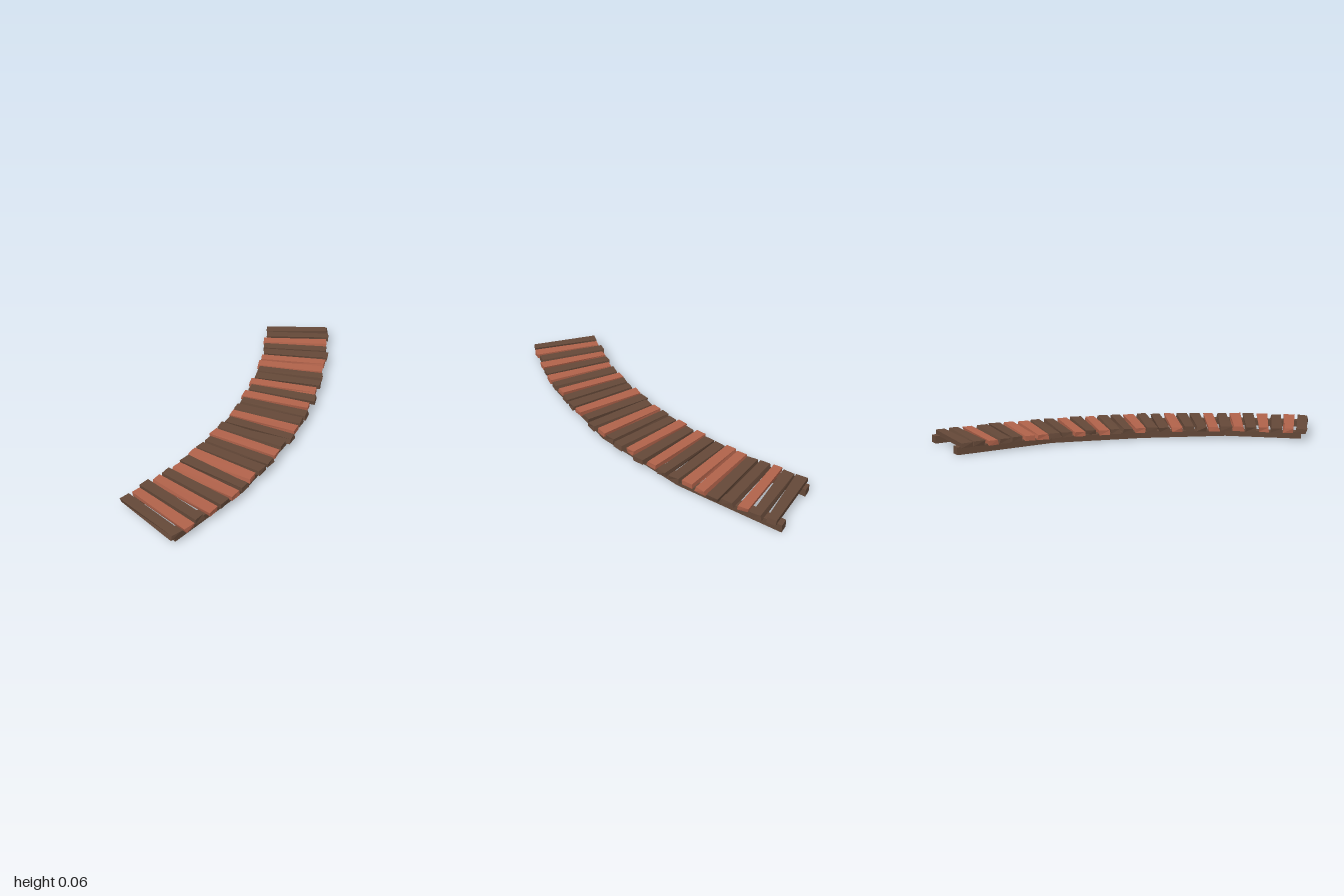
import * as THREE from 'three';

const BROWN = 0x644838, RED = 0xb0624a;

// One letter per plank, back to front: b = brown, r = red
const PLANKS = 'bbrbbrrbbrbrbbrbbrbbrbrbrbrb';
// Sideways slip of each plank, in units of 0.005
const SLIPS = [-1.5, 1, -2, -1, 1.5, -0.5, -2, 0.5, 1, -1.5, 2, -2, 1, 0,
  -0.5, 1.5, -1, -1.5, 0.5, -0.5, -2, 0, 1, -0.5, 0.5, -1.5, 1, -1];

// Bends of the walkway's centre line: x, z, turn in degrees, lift of the rail's underside
const BENDS = [
  [0.365, -0.95, 0, 0],
  [0.30, -0.452, 11, 0.009],
  [0.14, 0.055, 22.5, 0.004],
  [-0.106, 0.495, 34, 0.009],
  [-0.40, 0.833, 44.5, 0.005],
];

function seeded(seed) {
  return () => (seed = (seed * 16807) % 2147483647) / 2147483647;
}

function material(color) {
  return new THREE.MeshStandardMaterial({ color, flatShading: true });
}

// Box with slightly uneven corners, like a rough-sawn board
function plankGeometry(random) {
  const g = new THREE.BoxGeometry(0.385, 0.026, 0.057);
  const p = g.attributes.position;
  const moved = new Map();
  for (let i = 0; i < p.count; i++) {
    const key = [p.getX(i), p.getY(i), p.getZ(i)].map(Math.sign).join();
    if (!moved.has(key)) {
      moved.set(key, [(random() - 0.5) * 0.01, -random() * 0.003, (random() - 0.5) * 0.012]);
    }
    const [dx, dy, dz] = moved.get(key);
    p.setXYZ(i, p.getX(i) + dx, p.getY(i) + dy, p.getZ(i) + dz);
  }
  g.computeVertexNormals();
  return g;
}

// Rectangular beam lofted through the bends, mitred at each one
function railGeometry(offset) {
  const half = 0.025, positions = [], index = [];
  BENDS.forEach(([x, z, degrees, lift], i) => {
    const a = THREE.MathUtils.degToRad(degrees);
    const start = i === 0 ? -0.05 : 0;
    for (const [side, y] of [[-half, lift], [half, lift], [half, 0.041], [-half, 0.041]]) {
      const d = offset + side;
      positions.push(x + d * Math.cos(a), y, z + start + d * Math.sin(a));
    }
  });
  const last = (BENDS.length - 1) * 4;
  for (let s = 0; s < last; s += 4) {
    for (let k = 0; k < 4; k++) {
      const a = s + k, b = s + (k + 1) % 4;
      index.push(a, b, b + 4, a, b + 4, a + 4);
    }
  }
  index.push(0, 2, 1, 0, 3, 2, last, last + 1, last + 2, last, last + 2, last + 3);
  const g = new THREE.BufferGeometry();
  g.setAttribute('position', new THREE.Float32BufferAttribute(positions, 3));
  g.setIndex(index);
  const flat = g.toNonIndexed();
  flat.computeVertexNormals();
  return flat;
}

export function createModel() {
  const model = new THREE.Group();
  model.name = 'curvedBoardwalk';
  const brown = material(BROWN), red = material(RED);

  // Two supporting rails
  for (const [name, offset] of [['rightRail', -0.152], ['leftRail', 0.152]]) {
    const rail = new THREE.Mesh(railGeometry(offset), brown);
    rail.name = name;
    model.add(rail);
  }

  // Planks laid across the rails, turning with the curve
  const planks = new THREE.Group();
  planks.name = 'planks';
  const random = seeded(77);
  const path = new THREE.CatmullRomCurve3(BENDS.map(([x, z]) => new THREE.Vector3(x, 0.052, z)));
  const count = PLANKS.length;
  for (let i = 0; i < count; i++) {
    const t = i / (count - 1);
    const angle = THREE.MathUtils.degToRad(44.5 * t);
    const plank = new THREE.Mesh(plankGeometry(random), PLANKS[i] === 'r' ? red : brown);
    plank.name = 'plank' + (i + 1);
    plank.position.copy(path.getPointAt(t));
    plank.position.x += SLIPS[i] * 0.005 * Math.cos(angle);
    plank.position.z += SLIPS[i] * 0.005 * Math.sin(angle);
    plank.rotation.y = -angle;
    planks.add(plank);
  }
  model.add(planks);
  return model;
}
